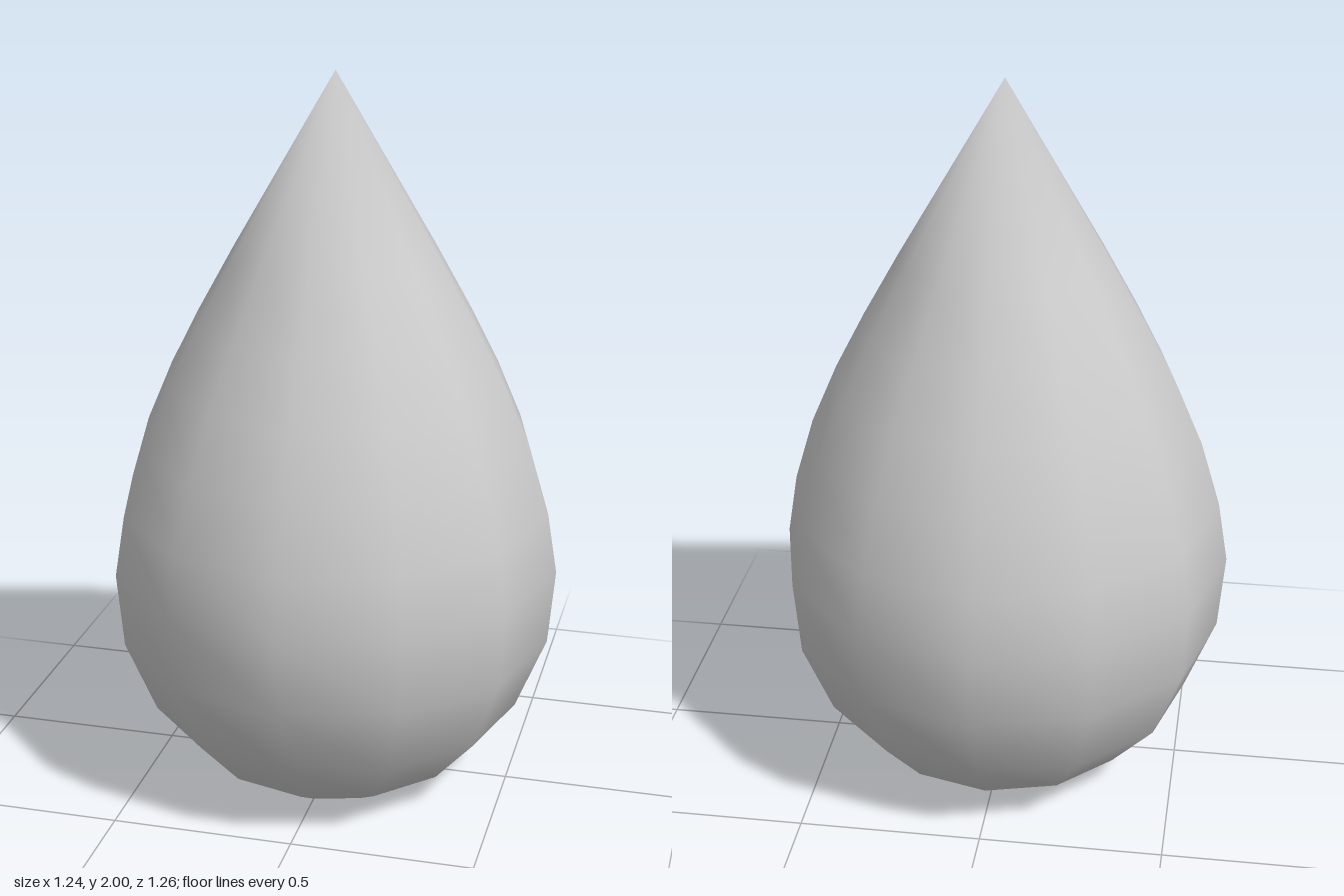
import * as THREE from 'three';
import { mergeVertices } from 'three/addons/utils/BufferGeometryUtils.js';

export function createModel() {
  const group = new THREE.Group();
  group.name = 'teardrop';

  // Profile from the flat base, over the round belly, to the pointed tip
  const profile = [
    [0, 0], [0.25, 0], [0.386, 0.083], [0.52, 0.233], [0.604, 0.44],
    [0.622, 0.65], [0.594, 0.82], [0.54, 1.0], [0.467, 1.17],
    [0.385, 1.33], [0.285, 1.51], [0, 2],
  ].map(([r, y]) => new THREE.Vector2(r, y));

  // Twelve-sided body, welded so the seam, base and tip shade smoothly
  const lathe = new THREE.LatheGeometry(profile, 12);
  lathe.deleteAttribute('uv');
  lathe.deleteAttribute('normal');
  const geometry = mergeVertices(lathe, 1e-4);
  geometry.scale(1, 1, 1.012);
  geometry.computeVertexNormals();

  const drop = new THREE.Mesh(geometry, new THREE.MeshStandardMaterial({ color: 0xcccccc }));
  drop.name = 'dropBody';
  group.add(drop);
  return group;
}
